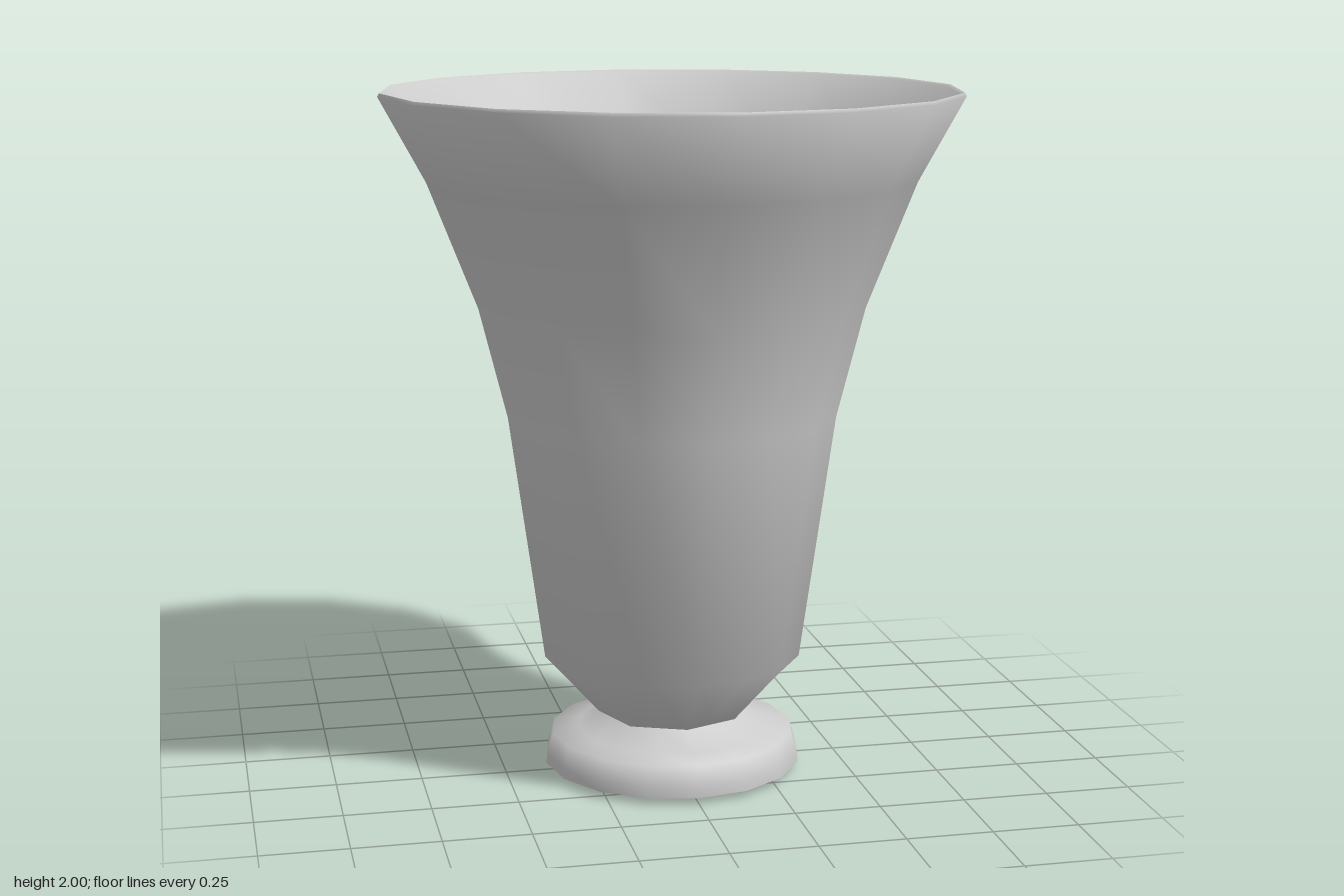
import * as THREE from 'three';
import { toCreasedNormals } from 'three/addons/utils/BufferGeometryUtils.js';

const SIDES = 16;

// Revolve [radius, y, octagonal?] points; octagonal rings have every second corner pulled onto the chord
function turned(name, profile) {
  const geo = new THREE.LatheGeometry(profile.map(([r, y]) => new THREE.Vector2(r, y)), SIDES);
  const pos = geo.attributes.position;
  const pull = Math.cos(Math.PI / 8);
  for (let i = 0; i < pos.count; i++) {
    const side = Math.floor(i / profile.length);
    const octagonal = profile[i % profile.length][2];
    if (octagonal && side % 2 === 1) {
      pos.setX(i, pos.getX(i) * pull);
      pos.setZ(i, pos.getZ(i) * pull);
    }
  }
  const mesh = new THREE.Mesh(
    toCreasedNormals(geo, THREE.MathUtils.degToRad(72)),
    new THREE.MeshStandardMaterial({ color: 0xcccccc, side: THREE.DoubleSide })
  );
  mesh.name = name;
  return mesh;
}

export function createModel() {
  const group = new THREE.Group();
  group.name = 'vase';

  // Flared bowl: outer wall up, over the thin rim, down the inner wall to an octagonal opening
  group.add(turned('bowl', [
    [0.22, 0.17, true], [0.38, 0.35], [0.48, 1.07], [0.56, 1.39], [0.70, 1.75], [0.83, 1.99],
    [0.825, 2.0], [0.812, 1.995],
    [0.685, 1.76], [0.545, 1.4], [0.465, 1.08], [0.365, 0.36], [0.21, 0.2, true], [0.2, 0.16, true]
  ]));

  // Floor inside the bowl
  const floor = new THREE.Mesh(
    new THREE.CircleGeometry(0.202, 8).rotateX(-Math.PI / 2),
    new THREE.MeshStandardMaterial({ color: 0xcccccc, side: THREE.DoubleSide })
  );
  floor.name = 'floor';
  floor.position.y = 0.165;
  group.add(floor);

  // Round foot with a slightly domed underside, rising to the octagonal neck
  group.add(turned('foot', [
    [0, 0], [0.38, 0.02], [0.378, 0.05], [0.36, 0.11], [0.28, 0.12], [0.22, 0.17, true]
  ]));

  return group;
}
